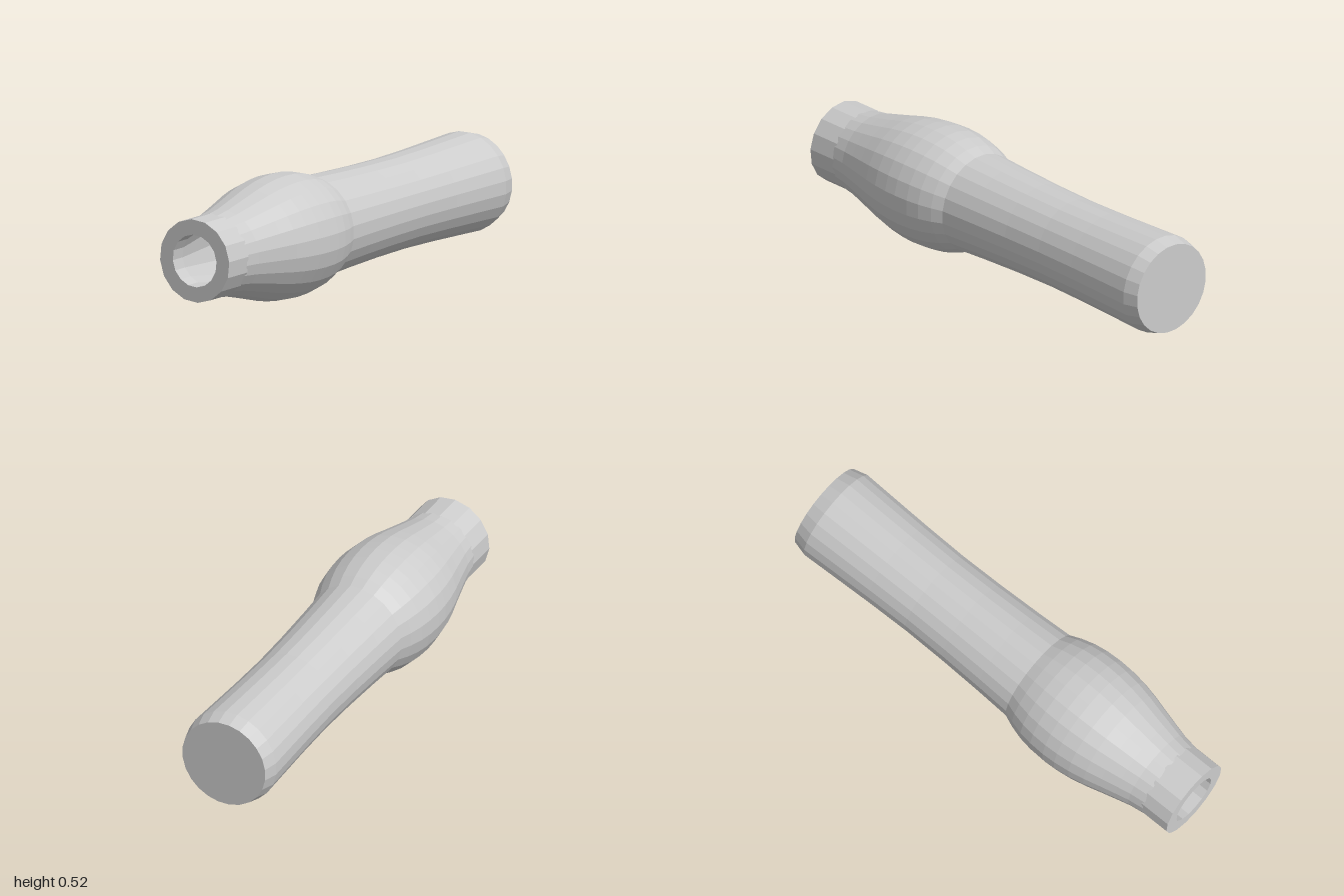
import * as THREE from 'three';

const AXIS_Y = 0.263;

export function createModel() {
  const group = new THREE.Group();
  const material = new THREE.MeshStandardMaterial({ color: 0xcccccc, flatShading: true });

  // Turned part along z; profile rows are [radius, z], running back to front on the outside
  function turned(name, profile, sides, startAngle) {
    const points = profile.map(([r, z]) => new THREE.Vector2(r, z));
    const geometry = new THREE.LatheGeometry(points, sides, startAngle);
    geometry.rotateX(Math.PI / 2);
    const mesh = new THREE.Mesh(geometry, material);
    mesh.name = name;
    mesh.position.y = AXIS_Y;
    group.add(mesh);
  }

  const half = Math.PI / 24;

  // Waisted grip with a chamfered, closed butt
  turned('grip', [
    [0, -1], [0.195, -1], [0.212, -0.935], [0.207, -0.8], [0.2, -0.6], [0.196, -0.4],
    [0.199, -0.2], [0.206, 0], [0.214, 0.16],
  ], 24, half);

  // Swelling between the grip and the neck
  turned('bulb', [
    [0.214, 0.16], [0.234, 0.21], [0.251, 0.27], [0.26, 0.33], [0.263, 0.4], [0.26, 0.46],
    [0.251, 0.53], [0.236, 0.6], [0.217, 0.67], [0.199, 0.74], [0.184, 0.8], [0.174, 0.87],
  ], 24, half);

  // Straight neck, flat rim and the socket: a short lip opening into a wider hollow
  turned('neckAndSocket', [
    [0.176, 0.86], [0.176, 1], [0.111, 1], [0.111, 0.93],
    [0.125, 0.86], [0.17, 0.65], [0.195, 0.4], [0.17, 0.17], [0, 0.17],
  ], 16, 0.09);

  return group;
}
